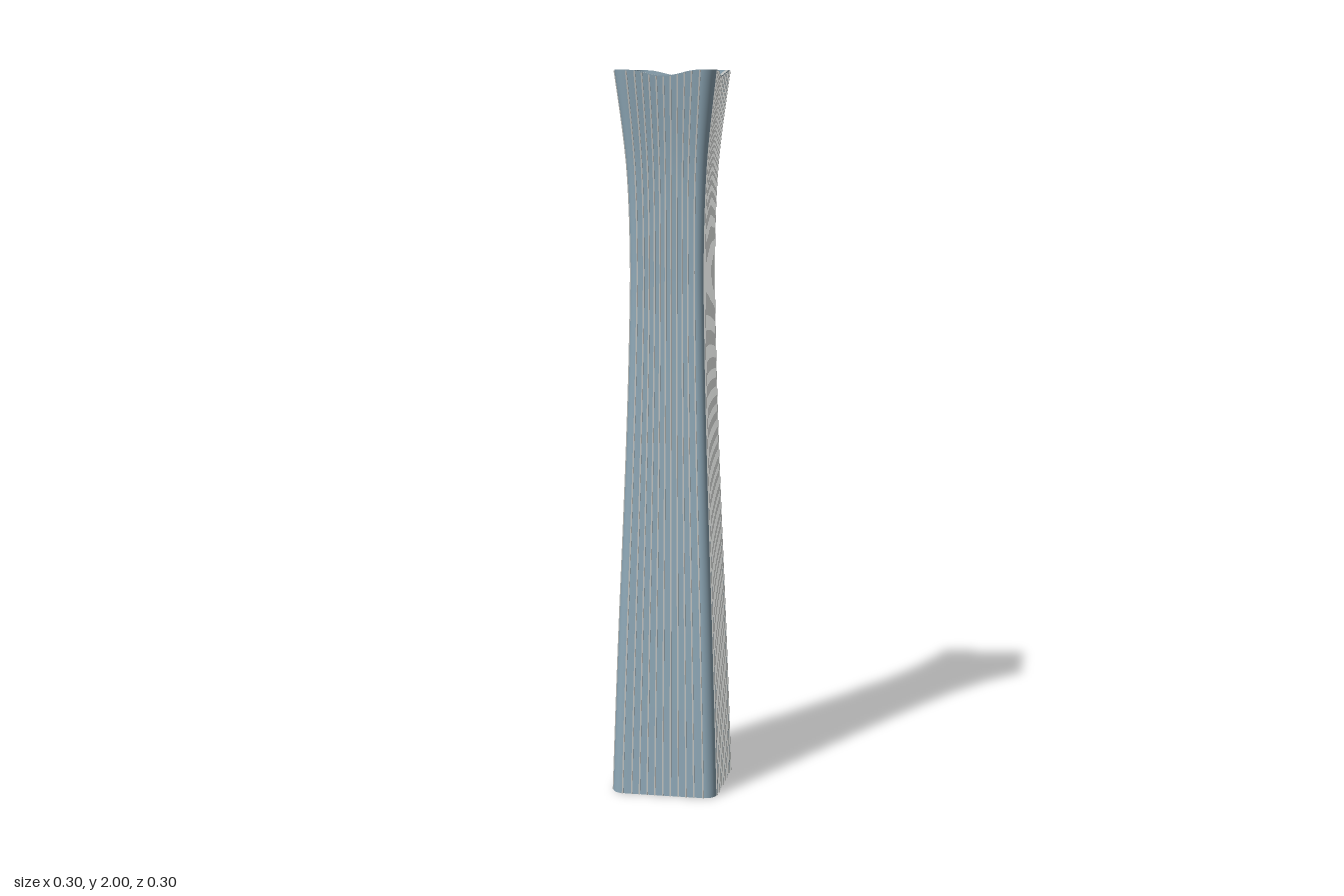
import * as THREE from 'three';

const material = (name, color, extra = {}) => {
  const m = new THREE.MeshStandardMaterial({ color, ...extra });
  m.name = name;
  return m;
};
const glass = material('blue grey glass', 0x8fa9b8);
const roofGrey = material('roof grey', 0x8a9ba8);
const trim = material('pale metal', 0xc0c2c0);

// Half-width of the tower (x) against height (y)
const profile = new THREE.SplineCurve([
  [0.147, 0], [0.139, 0.25], [0.13, 0.5], [0.12, 0.75], [0.111, 1],
  [0.104, 1.25], [0.101, 1.5], [0.11, 1.75], [0.139, 2],
].map(([w, y]) => new THREE.Vector2(w, y)));
const levels = profile.getPoints(48);
const topLevel = levels[levels.length - 1];

// Flare grows from 0 to 1 over the upper part
const flare = (y) => Math.pow(THREE.MathUtils.clamp((y - 1.4) / 0.6, 0, 1), 2);
const radius = (level) => level.x * 0.22 + 0.008 * flare(level.y);

// Point on the front side, t from -1 to 1; the side bows inward and dips near the top
function sidePoint(level, t, inset = 0) {
  const bump = Math.pow(Math.cos(t * Math.PI / 2), 2) * flare(level.y);
  return new THREE.Vector3(
    t * (level.x - radius(level)),
    level.y - 0.016 * bump,
    level.x - inset - 0.007 * bump,
  );
}

// Rounded square cross-section, counter-clockwise from above
function section(level, inset = 0, flatY = null) {
  const ring = [];
  const r = radius(level), c = level.x - r;
  const up = new THREE.Vector3(0, 1, 0);
  for (let k = 0; k < 4; k++) {
    const part = [];
    for (let i = 0; i <= 12; i++) part.push(sidePoint(level, i / 6 - 1, inset));
    for (let i = 1; i < 7; i++) {
      const a = i / 7 * Math.PI / 2;
      part.push(new THREE.Vector3(
        c + (r - inset) * Math.sin(a), level.y, c + (r - inset) * Math.cos(a)));
    }
    part.forEach((p) => {
      p.applyAxisAngle(up, k * Math.PI / 2);
      if (flatY !== null) p.y = flatY;
      ring.push(p);
    });
  }
  return ring;
}

// Surface through a list of closed rings
function loft(rings) {
  const n = rings[0].length, index = [];
  for (let i = 0; i < rings.length - 1; i++) {
    for (let j = 0; j < n; j++) {
      const a = i * n + j, b = i * n + (j + 1) % n;
      index.push(a, b, b + n, a, b + n, a + n);
    }
  }
  const g = new THREE.BufferGeometry().setFromPoints(rings.flat());
  g.setIndex(index);
  g.computeVertexNormals();
  return g;
}

// Slim vertical fin following the side at parameter t
function finGeometry(t) {
  const steps = levels.length - 1;
  const g = new THREE.BoxGeometry(1, 1, 1, 1, steps, 1);
  const pos = g.attributes.position;
  for (let i = 0; i < pos.count; i++) {
    const level = levels[Math.round((pos.getY(i) + 0.5) * steps)];
    const p = sidePoint(level, t);
    pos.setXYZ(i,
      p.x + pos.getX(i) * 0.004,
      p.y - (level === topLevel ? 0.002 : 0),
      p.z + (pos.getZ(i) > 0 ? 0.003 : -0.002));
  }
  g.computeVertexNormals();
  return g;
}

export function createModel() {
  const model = new THREE.Group();
  model.name = 'tower';
  const add = (name, geometry, mat, parent = model) => {
    const mesh = new THREE.Mesh(geometry, mat);
    mesh.name = name;
    parent.add(mesh);
    return mesh;
  };

  // Curved glass shell and its base
  add('glassShell', loft(levels.map((l) => section(l))), glass);
  const foot = section(levels[0]);
  add('base', loft([foot.map(() => new THREE.Vector3()), foot]), glass);

  // Scalloped parapet around a sunken flat roof
  const deckY = 1.968, inset = 0.009;
  const inner = section(topLevel, inset), deckEdge = section(topLevel, inset, deckY);
  add('parapetTop', loft([section(topLevel), inner]), trim);
  add('parapetInnerWall', loft([inner, deckEdge]), glass);
  add('roofDeck', loft([deckEdge, deckEdge.map(() => new THREE.Vector3(0, deckY, 0))]), roofGrey);

  // Eleven fins on each of the four sides
  const finShapes = [];
  for (let i = -4; i <= 4; i++) finShapes.push(finGeometry(i * 0.193));
  finShapes.push(finGeometry(-1), finGeometry(1));
  for (let k = 0; k < 4; k++) {
    const side = new THREE.Group();
    side.name = ['frontFins', 'leftFins', 'backFins', 'rightFins'][k];
    side.rotation.y = k * Math.PI / 2;
    finShapes.forEach((g) => add('fin', g, trim, side));
    model.add(side);
  }
  return model;
}
